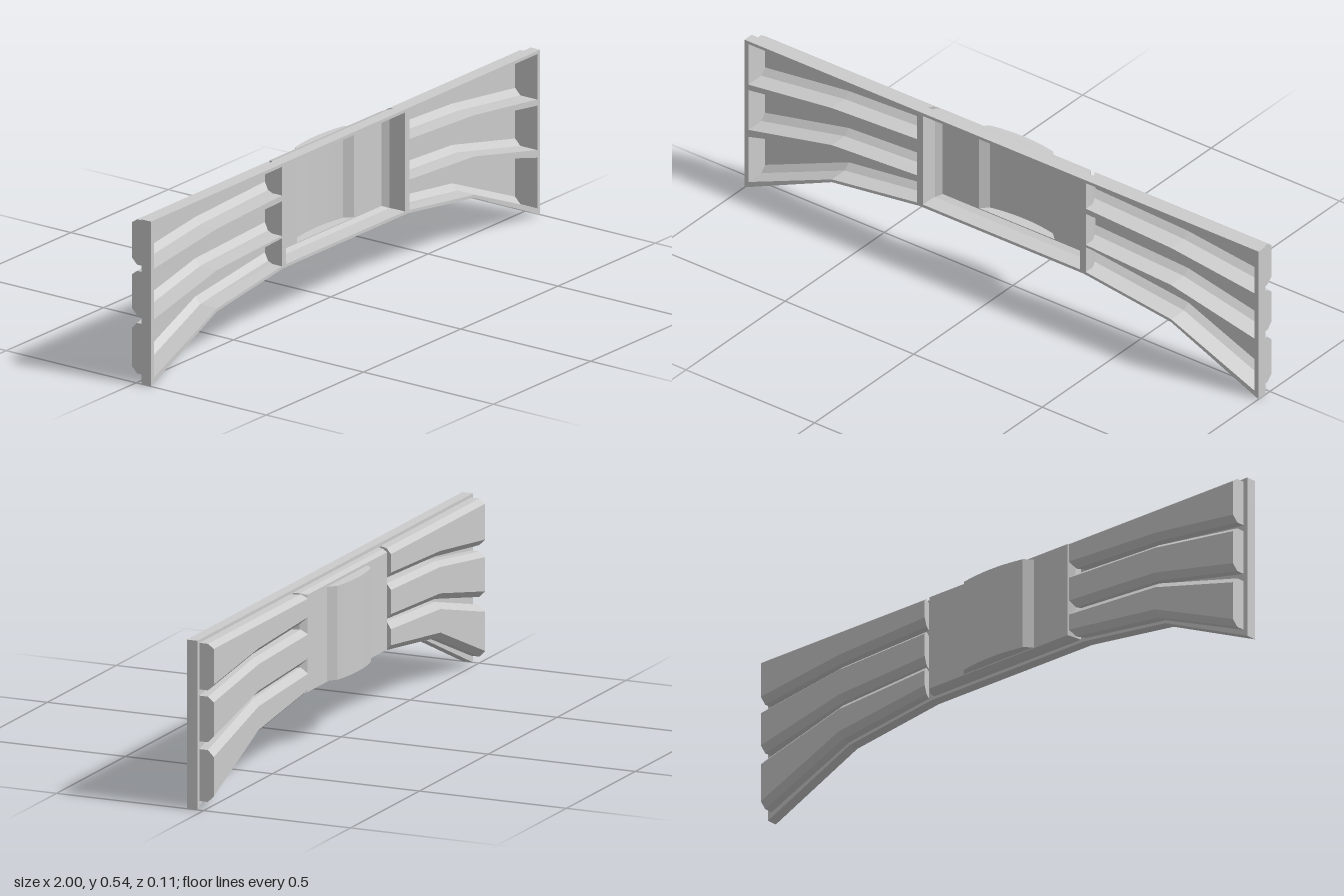
import * as THREE from 'three';

const solidMat = new THREE.MeshStandardMaterial({ color: 0xcccccc, flatShading: true });
const shellMat = new THREE.MeshStandardMaterial({ color: 0xcccccc, flatShading: true, side: THREE.DoubleSide });

const FRONT = 0.057, BACK = 0.021;

// Pocket rails, from the inner end to the outer end
const RAIL_X = [0.328, 0.66, 0.985];
const POCKETS = [
  { name: 'upper', bottom: [0.435, 0.42, 0.38], top: [0.528, 0.528, 0.528], topBevel: 0.014 },
  { name: 'middle', bottom: [0.303, 0.285, 0.215], top: [0.416, 0.405, 0.36], topBevel: 0.016 },
  { name: 'lower', bottom: [0.204, 0.16, 0.025], top: [0.295, 0.275, 0.19], topBevel: 0.02 },
];
const CENTRE = { x: 0.306, bottom: 0.205, top: 0.528 };

// Flat-shaded mesh from a list of quads (each four corners)
function quadMesh(name, quads, flip) {
  const pos = [];
  for (const [a, b, c, d] of quads) {
    const tris = flip ? [a, c, b, a, d, c] : [a, b, c, a, c, d];
    tris.forEach(p => pos.push(...p));
  }
  const g = new THREE.BufferGeometry();
  g.setAttribute('position', new THREE.Float32BufferAttribute(pos, 3));
  g.computeVertexNormals();
  const mesh = new THREE.Mesh(g, shellMat);
  mesh.name = name;
  return mesh;
}

// Quads joining two open or closed rows of points
function bridge(a, b, closed) {
  const quads = [];
  const n = closed ? a.length : a.length - 1;
  for (let i = 0; i < n; i++) {
    const j = (i + 1) % a.length;
    quads.push([a[i], a[j], b[j], b[i]]);
  }
  return quads;
}

function polygon(points, Type) {
  return new Type(points.map(p => new THREE.Vector2(p[0], p[1])));
}

// Arched plate with seven openings
function makeFrame() {
  const shape = polygon([[-1, 0], [-0.66, 0.15], [-0.32, 0.195], [0.32, 0.195],
    [0.66, 0.15], [1, 0], [1, 0.538], [-1, 0.538]], THREE.Shape);
  for (const s of [-1, 1]) {
    for (const p of POCKETS) {
      const low = RAIL_X.map((x, i) => [s * x, p.bottom[i]]);
      const high = RAIL_X.map((x, i) => [s * x, p.top[i]]).reverse();
      shape.holes.push(polygon([...low, ...high], THREE.Path));
    }
  }
  const { x, bottom, top } = CENTRE;
  shape.holes.push(polygon([[-x, bottom], [x, bottom], [x, top], [-x, top]], THREE.Path));
  const g = new THREE.ExtrudeGeometry(shape, { depth: FRONT - BACK, bevelEnabled: false });
  g.translate(0, 0, BACK);
  const mesh = new THREE.Mesh(g, solidMat);
  mesh.name = 'frame';
  return mesh;
}

// Bent trough with bevelled long edges, open to the front
function makePocket(p, s) {
  const rows = RAIL_X.map((x, i) => {
    const b = p.bottom[i], t = p.top[i];
    const lean = i === 0 ? 1 : 0; // the inner end leans toward the centre
    return [[b, BACK], [b, -0.008], [b + 0.02, -0.028],
      [t - p.topBevel, -0.028], [t, -0.008], [t, BACK]]
      .map(([y, z]) => [s * (x - lean * 0.55 * (BACK - z)), y, z]);
  });
  const quads = [];
  for (let i = 0; i < rows.length - 1; i++) quads.push(...bridge(rows[i], rows[i + 1], false));
  // End caps
  const [first, last] = [rows[0], rows[rows.length - 1]];
  for (const [k, l, m, n] of [[0, 1, 4, 5], [1, 2, 3, 4]]) {
    quads.push([first[k], first[l], first[m], first[n]]);
    quads.push([last[n], last[m], last[l], last[k]]);
  }
  return quadMesh(`${p.name}${s > 0 ? 'Left' : 'Right'}Pocket`, quads, s > 0);
}

// Central tray with tapered rim and a bowed panel pushed out of its floor
function makeCentre() {
  const ring = (x, b, t, z) => [[-x, b, z], [x, b, z], [x, t, z], [-x, t, z]];
  const floorZ = -0.02, low = 0.215, high = 0.514;
  const rings = [
    ring(CENTRE.x, CENTRE.bottom, CENTRE.top, BACK),
    ring(0.303, CENTRE.bottom, CENTRE.top, 0),
    ring(0.288, 0.212, 0.522, floorZ),
    ring(0.285, low, high, floorZ),
  ];
  const quads = [];
  for (let i = 0; i < rings.length - 1; i++) quads.push(...bridge(rings[i + 1], rings[i], true));

  // Floor profile across x
  const profile = [[-0.285, floorZ], [-0.147, floorZ]];
  for (let i = 0; i <= 8; i++) {
    const u = i / 4 - 1;
    profile.push([0.122 * u, -0.057 + 0.013 * u * u]);
  }
  profile.push([0.147, floorZ], [0.285, floorZ]);
  const row = (y, z) => profile.map(p => [p[0], y, z ?? p[1]]);
  quads.push(...bridge(row(high), row(low), false));
  // Flat ends of the bowed panel
  const inner = a => a.slice(1, -1);
  quads.push(...bridge(inner(row(low)), inner(row(low, floorZ)), false));
  quads.push(...bridge(inner(row(high, floorZ)), inner(row(high)), false));
  return quadMesh('centrePanel', quads, true);
}

export function createModel() {
  const model = new THREE.Group();
  model.name = 'archedPanel';
  model.add(makeFrame(), makeCentre());
  for (const s of [-1, 1]) {
    for (const p of POCKETS) model.add(makePocket(p, s));
  }
  return model;
}
